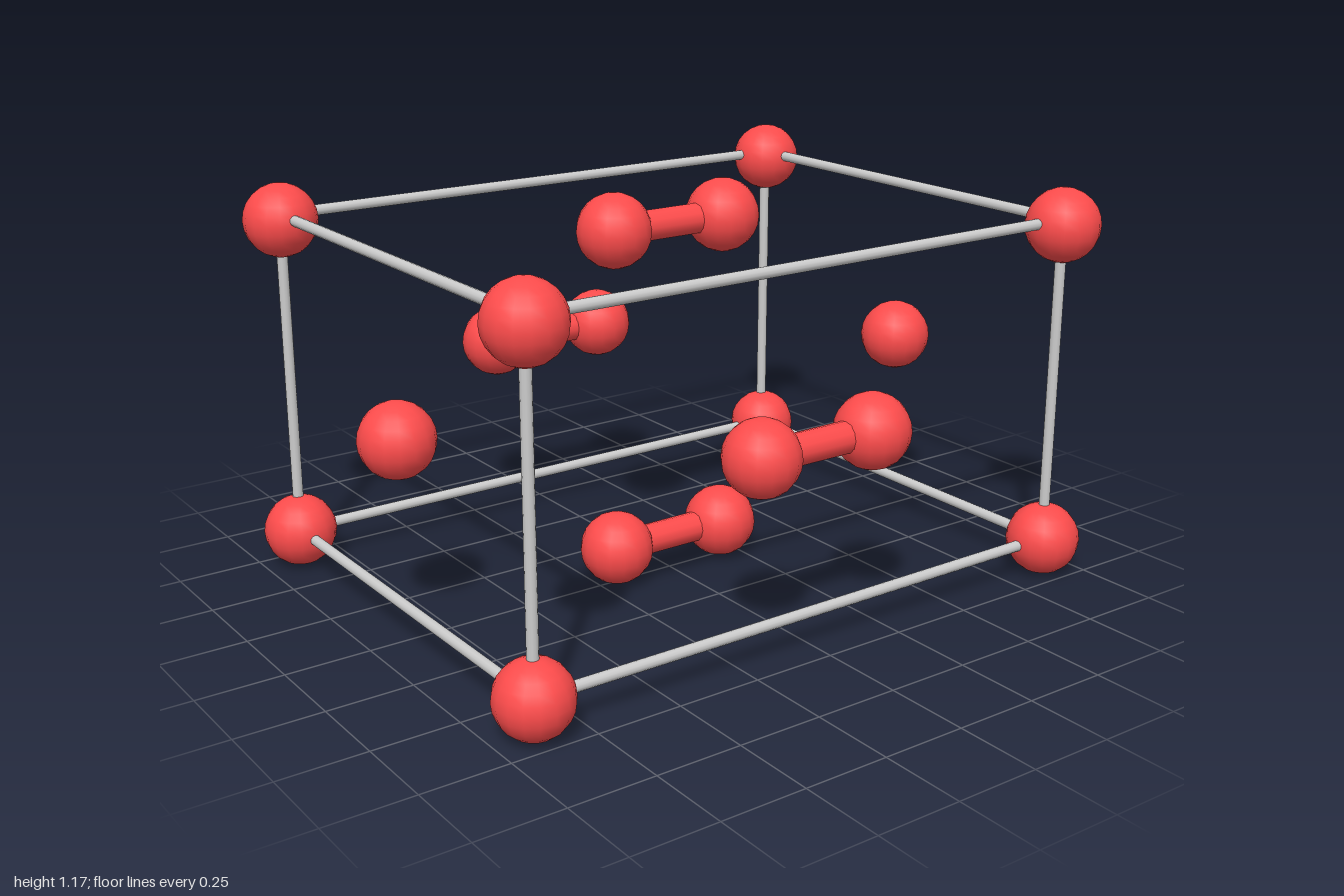
import * as THREE from 'three';

const X = 0.677, Z = 0.89;               // half extents of the cell
const Y0 = 0.108, Y1 = 1.063;            // bottom and top atom layers
const YM = (Y0 + Y1) / 2;
const ATOM_R = 0.108, BOND_R = 0.045, ROD_R = 0.016, PAIR = 0.19;

export function createModel() {
  const model = new THREE.Group();
  model.name = 'crystalCell';
  const red = new THREE.MeshStandardMaterial({ color: 0xff4c4c });
  const grey = new THREE.MeshStandardMaterial({ color: 0xcccccc });
  const atomGeo = new THREE.SphereGeometry(ATOM_R, 16, 12);

  const atom = (name, x, y, z, parent = model) => {
    const mesh = new THREE.Mesh(atomGeo, red);
    mesh.name = name;
    mesh.position.set(x, y, z);
    parent.add(mesh);
  };

  // Cylinder running between two points
  const rod = (name, a, b, radius, material, parent = model) => {
    const from = new THREE.Vector3(...a), to = new THREE.Vector3(...b);
    const dir = to.clone().sub(from);
    const mesh = new THREE.Mesh(new THREE.CylinderGeometry(radius, radius, dir.length(), 12), material);
    mesh.name = name;
    mesh.position.copy(from).add(to).multiplyScalar(0.5);
    mesh.quaternion.setFromUnitVectors(new THREE.Vector3(0, 1, 0), dir.normalize());
    parent.add(mesh);
  };

  // Corner atoms
  for (const x of [-X, X])
    for (const y of [Y0, Y1])
      for (const z of [-Z, Z]) atom('cornerAtom', x, y, z);

  // Single atoms centred on the front and back faces
  atom('frontFaceAtom', 0, YM, Z);
  atom('backFaceAtom', 0, YM, -Z);

  // Bonded pairs centred on the side, top and bottom faces
  const pairs = [['left', X, YM], ['right', -X, YM], ['top', 0, Y1], ['bottom', 0, Y0]];
  for (const [side, x, y] of pairs) {
    const pair = new THREE.Group();
    pair.name = side + 'BondedPair';
    pair.position.set(x, y, 0);
    atom('pairAtom', 0, 0, PAIR, pair);
    atom('pairAtom', 0, 0, -PAIR, pair);
    rod('bond', [0, 0, -PAIR], [0, 0, PAIR], BOND_R, red, pair);
    model.add(pair);
  }

  // Cell edges, set slightly off the atom centres
  const xs = [-0.682, 0.676], ys = [0.105, 1.077], zs = [-Z, Z];
  for (const y of ys) for (const z of zs) rod('widthEdge', [xs[0], y, z], [xs[1], y, z], ROD_R, grey);
  for (const x of xs) for (const z of zs) rod('heightEdge', [x, ys[0], z], [x, ys[1], z], ROD_R, grey);
  for (const x of xs) for (const y of ys) rod('depthEdge', [x, y, zs[0]], [x, y, zs[1]], ROD_R, grey);

  return model;
}
